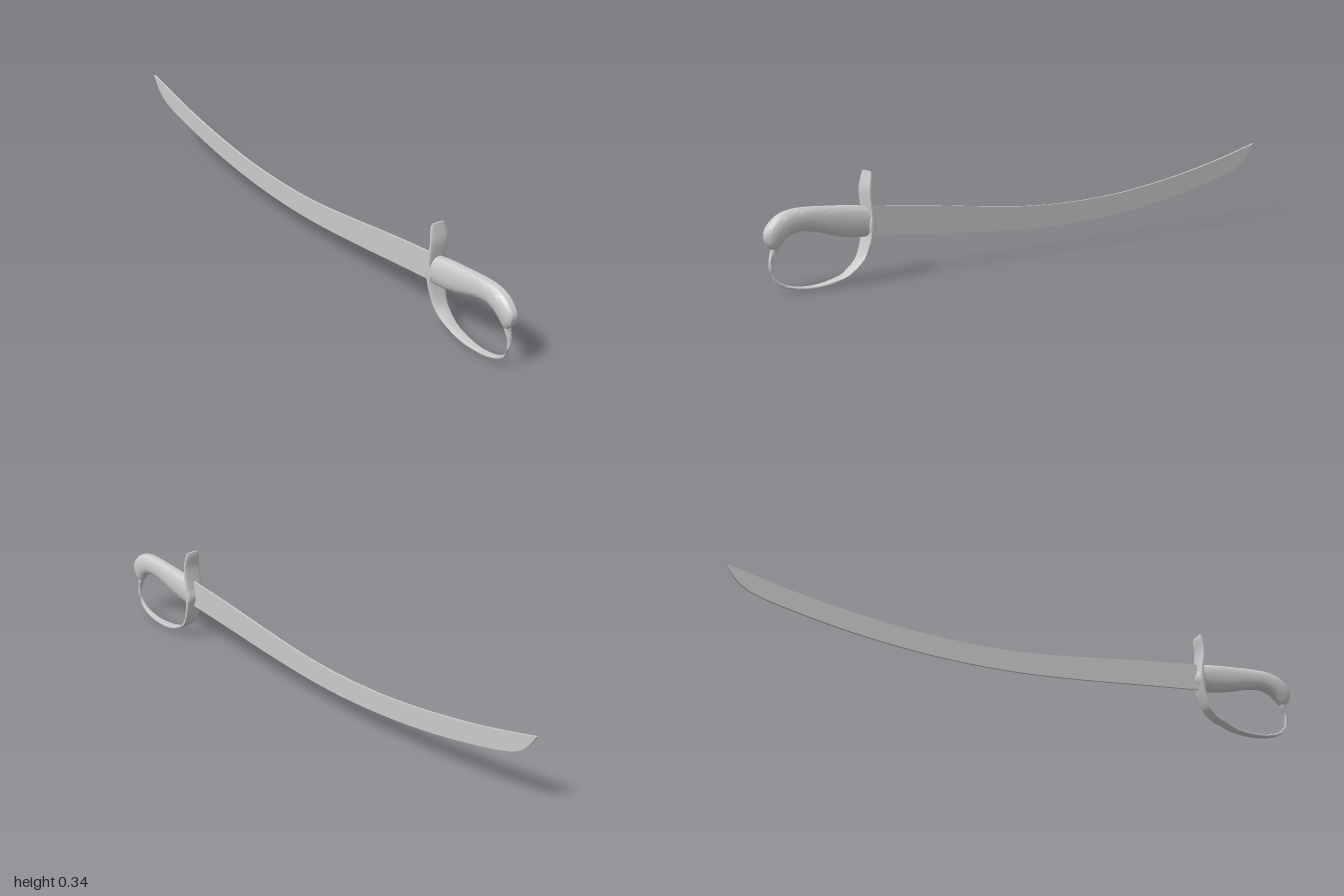
import * as THREE from 'three';
import { toCreasedNormals } from 'three/addons/utils/BufferGeometryUtils.js';

const material = new THREE.MeshStandardMaterial({ color: 0xcccccc, roughness: 0.6 });

// Smoothly resample rows of numbers (first two are z, y)
function resample(rows, count) {
  const a = new THREE.CatmullRomCurve3(rows.map(r => new THREE.Vector3(r[0], r[1], r[2])));
  const b = new THREE.CatmullRomCurve3(rows.map(r => new THREE.Vector3(r[3], r[4] ?? 0, 0)));
  return Array.from({ length: count + 1 }, (_, i) => {
    const p = a.getPoint(i / count), q = b.getPoint(i / count);
    return [p.x, p.y, p.z, q.x, q.y];
  });
}

// Skin closed rings: each section is { z, y, uz, uy, w } where (uz, uy) is the half height vector
function loft(sections, sides, power, crease) {
  const pos = [], index = [];
  const shape = v => Math.sign(v) * Math.pow(Math.abs(v), power);
  for (const s of sections) {
    for (let j = 0; j < sides; j++) {
      const t = (j / sides) * Math.PI * 2;
      const c = shape(Math.cos(t)), d = shape(Math.sin(t));
      pos.push(-d * s.w, s.y + c * s.uy, s.z + c * s.uz);
    }
  }
  const last = sections.length - 1;
  for (let i = 0; i < last; i++) {
    for (let j = 0; j < sides; j++) {
      const k = (j + 1) % sides, a = i * sides, b = a + sides;
      index.push(a + j, a + k, b + j, a + k, b + k, b + j);
    }
  }
  // end caps
  const n = pos.length / 3, e = last * sides;
  pos.push(0, sections[0].y, sections[0].z, 0, sections[last].y, sections[last].z);
  for (let j = 0; j < sides; j++) {
    const k = (j + 1) % sides;
    index.push(n, k, j, n + 1, e + j, e + k);
  }
  const g = new THREE.BufferGeometry();
  g.setAttribute('position', new THREE.Float32BufferAttribute(pos, 3));
  g.setIndex(index);
  return toCreasedNormals(g, crease);
}

function add(group, name, geometry) {
  const mesh = new THREE.Mesh(geometry, material);
  mesh.name = name;
  group.add(mesh);
}

// Curved blade: side outline extruded to a thin plate
function bladeGeometry() {
  const v = p => new THREE.Vector2(p[0], p[1]);
  const spine = [[0.65, 0.232], [0.44, 0.21], [0.22, 0.182], [0.05, 0.163], [-0.1, 0.155],
    [-0.25, 0.156], [-0.4, 0.165], [-0.6, 0.19], [-0.8, 0.226], [-1, 0.273]].map(v);
  const edge = [[-1, 0.273], [-0.965, 0.225], [-0.91, 0.19], [-0.8, 0.16], [-0.6, 0.121], [-0.4, 0.096],
    [-0.2, 0.084], [0, 0.085], [0.22, 0.1], [0.44, 0.121], [0.65, 0.14]].map(v);
  const outline = new THREE.Shape();
  outline.moveTo(0.65, 0.14);
  outline.lineTo(0.65, 0.232);
  outline.splineThru(spine.slice(1));
  outline.splineThru(edge.slice(1));
  const depth = 0.007;
  const g = new THREE.ExtrudeGeometry(outline, { depth, bevelEnabled: false, curveSegments: 4 });
  g.rotateY(-Math.PI / 2).translate(depth / 2, 0, 0);
  return toCreasedNormals(g, 0.5);
}

// Grip: rows are back z, y, half width, belly z, y; it curls down into the pommel
function gripGeometry() {
  const rows = [
    [0.64, 0.23, 0.028, 0.64, 0.138], [0.70, 0.24, 0.026, 0.69, 0.14],
    [0.78, 0.247, 0.024, 0.76, 0.154], [0.85, 0.252, 0.023, 0.83, 0.174],
    [0.91, 0.251, 0.024, 0.885, 0.181], [0.955, 0.238, 0.025, 0.917, 0.173],
    [0.986, 0.213, 0.024, 0.933, 0.162], [1.0, 0.188, 0.021, 0.943, 0.151],
    [0.995, 0.16, 0.017, 0.95, 0.143], [0.98, 0.14, 0.011, 0.958, 0.136],
  ];
  const sections = resample(rows, 45).map(([tz, ty, w, bz, by]) => ({
    z: (tz + bz) / 2, y: (ty + by) / 2, uz: (tz - bz) / 2, uy: (ty - by) / 2, w,
  }));
  return loft(sections, 28, 0.9, 1.0);
}

// Guard and knuckle bow in one strap: rows are z, y, half width, half thickness
function guardGeometry() {
  const rows = [
    [0.644, 0.339, 0.022, 0.003], [0.645, 0.325, 0.027, 0.005], [0.651, 0.285, 0.032, 0.006],
    [0.648, 0.245, 0.033, 0.007], [0.642, 0.2, 0.033, 0.008], [0.644, 0.15, 0.032, 0.008],
    [0.654, 0.11, 0.029, 0.007], [0.672, 0.07, 0.025, 0.006], [0.71, 0.038, 0.021, 0.005],
    [0.77, 0.015, 0.017, 0.005], [0.84, 0.007, 0.013, 0.005], [0.91, 0.015, 0.01, 0.005],
    [0.958, 0.037, 0.006, 0.005], [0.979, 0.075, 0.005, 0.005], [0.979, 0.105, 0.006, 0.006],
    [0.97, 0.13, 0.009, 0.009], [0.966, 0.15, 0.011, 0.011],
  ];
  const path = resample(rows, 80);
  const sections = path.map(([z, y, w, h], i) => {
    const p = path[Math.max(i - 1, 0)], q = path[Math.min(i + 1, path.length - 1)];
    const dz = q[0] - p[0], dy = q[1] - p[1], l = Math.hypot(dz, dy);
    return { z, y, uz: (-dy / l) * h, uy: (dz / l) * h, w };
  });
  return loft(sections, 16, 0.55, 0.8);
}

export function createModel() {
  const group = new THREE.Group();
  group.name = 'sabre';
  add(group, 'blade', bladeGeometry());
  add(group, 'grip', gripGeometry());
  add(group, 'guard', guardGeometry());
  return group;
}
